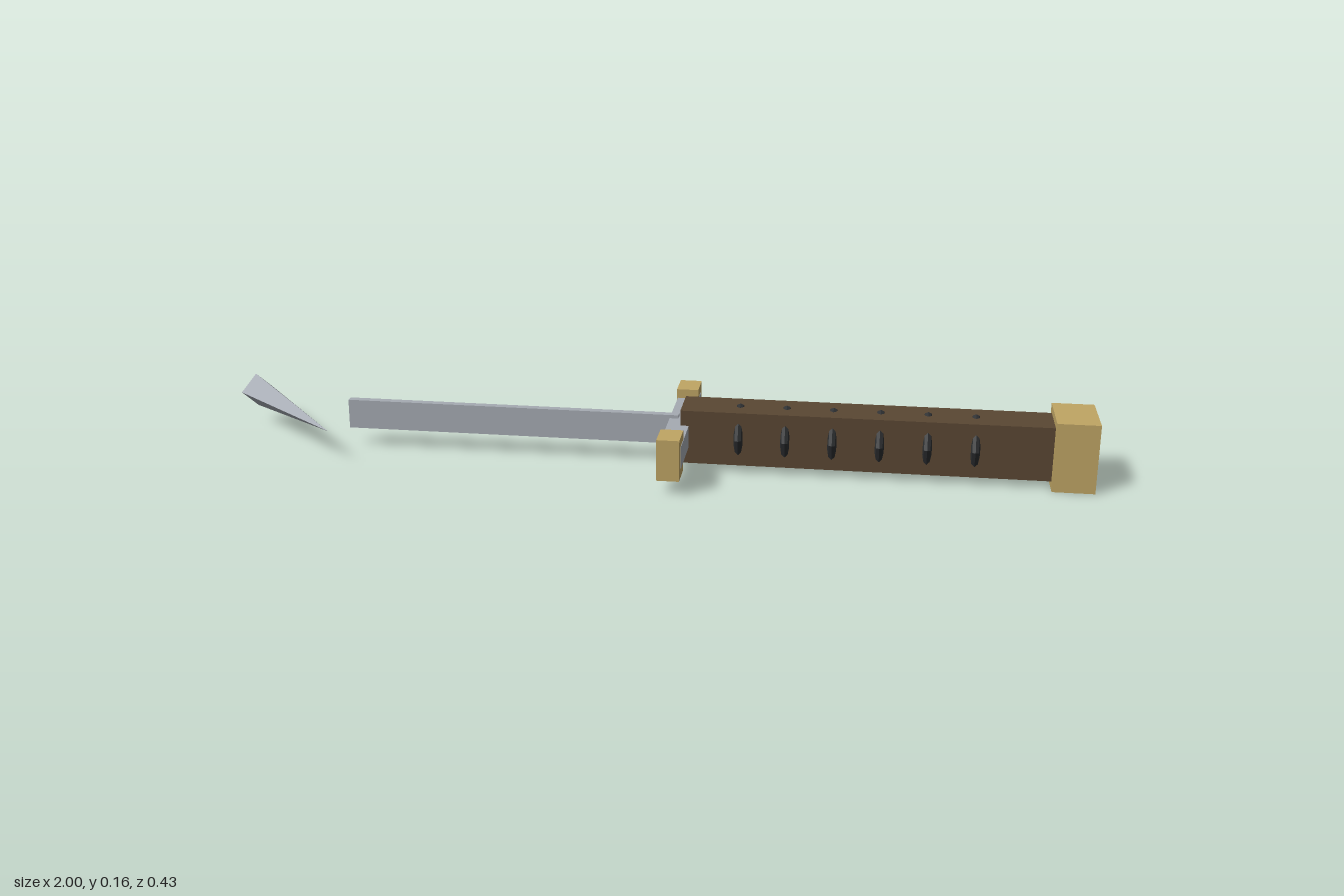
import * as THREE from 'three';

const MID = 0.079; // height of the long axis

export function createModel() {
  const mat = (name, color) => {
    const m = new THREE.MeshStandardMaterial({ color });
    m.name = name;
    m.flatShading = true;
    return m;
  };
  const steel = mat('steel', 0xa6abb3);
  const brass = mat('brass', 0xbfa564);
  const wood = mat('dark wood', 0x5a4733);
  const black = mat('black binding', 0x2c2e30);

  const group = new THREE.Group();
  const add = (name, geometry, material, x, y, z) => {
    const mesh = new THREE.Mesh(geometry, material);
    mesh.name = name;
    mesh.position.set(x, y, z);
    group.add(mesh);
    return mesh;
  };
  // Box given by its extents along x and z, centred on height y
  const box = (name, material, x0, x1, h, z0, z1, y = MID) =>
    add(name, new THREE.BoxGeometry(x1 - x0, h, z1 - z0), material, (x0 + x1) / 2, y, (z0 + z1) / 2);

  // Grip and pommel
  box('grip', wood, 0.09, 0.91, 0.123, -0.052, 0.052);
  box('pommel', brass, 0.907, 1.0, 0.157, -0.072, 0.072);

  // Binding rings, mostly sunk into the grip
  const ring = new THREE.TorusGeometry(0.0575, 0.01, 8, 8).rotateY(Math.PI / 2);
  for (let i = 0; i < 6; i++) add('bindingRing', ring, black, 0.22 + i * 0.104, MID, 0);

  // Cross guard with end blocks
  box('guardBar', steel, 0.06, 0.109, 0.051, -0.188, 0.188, 0.08);
  for (const s of [-1, 1]) {
    const cap = box('guardEnd', brass, 0.058, 0.108, 0.093, -0.0355, 0.0355, 0.08);
    cap.position.z = s * 0.178;
  }

  // Blade with a raised rib on its back
  box('blade', steel, -0.693, 0.08, 0.068, -0.012, 0.006);
  box('bladeRib', steel, -0.668, 0.012, 0.018, -0.021, -0.011);

  // Detached four-sided point, turned 45 degrees
  const tip = add('bladeTip', new THREE.ConeGeometry(0.04, 0.381, 4), steel, -0.837, MID, -0.003);
  tip.rotation.set(0, -Math.PI / 4, -Math.PI / 2);

  return group;
}
